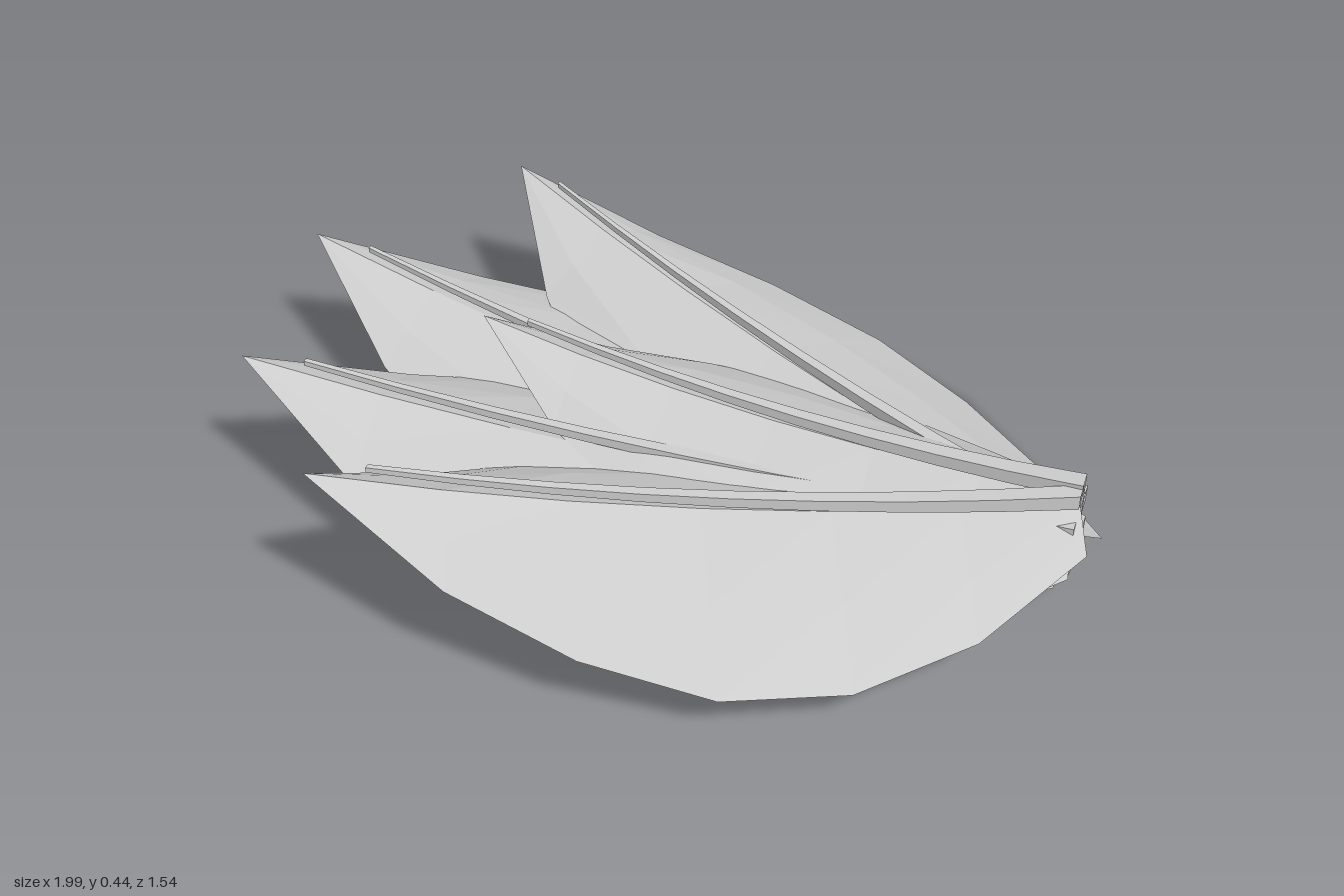
import * as THREE from 'three';

// Stations along a feather, with width and drop of the vanes at each
const STATIONS = [0, 0.17, 0.33, 0.5, 0.67, 0.84, 1];
const WIDTH = [0, 0.49, 0.82, 1, 0.94, 0.67, 0.23];
const DROP = [0, 0.62, 0.85, 1, 1, 0.8, 0.38];

// Geometry from a grid of points: rows of equal length joined by quads
function gridGeometry(rows) {
  const pos = [], idx = [], n = rows[0].length;
  rows.forEach((row) => row.forEach((p) => pos.push(p.x, p.y, p.z)));
  for (let i = 0; i < rows.length - 1; i++) {
    for (let j = 0; j < n - 1; j++) {
      const a = i * n + j, b = a + n;
      idx.push(a, b, a + 1, b, b + 1, a + 1);
    }
  }
  const g = new THREE.BufferGeometry();
  g.setAttribute('position', new THREE.Float32BufferAttribute(pos, 3));
  g.setIndex(idx);
  g.computeVertexNormals();
  return g;
}

// Point on the sagging rib, t = 0 at the tip and 1 at the root
function ribPoint(f, t) {
  const p = f.tip.clone().lerp(f.root, t);
  p.y -= 0.2 * t * (1 - t);
  return p;
}

// Sloping half of a feather, slightly domed; side is +1 for front, -1 for back
function vane(f, side) {
  const along = f.root.clone().sub(f.tip).setY(0).normalize();
  const across = new THREE.Vector3(-along.z, 0, along.x).multiplyScalar(side);
  return gridGeometry(STATIONS.map((t, i) => {
    const rib = ribPoint(f, t);
    const edge = rib.clone().addScaledVector(across, f.width * WIDTH[i]);
    edge.y -= f.drop * DROP[i];
    const mid = rib.clone().lerp(edge, 0.55);
    mid.y += 0.015 * Math.sin(Math.PI * t);
    return side > 0 ? [rib, mid, edge] : [edge, mid, rib];
  }));
}

// Tapered four-sided shaft lying on the rib, lifting off it towards the tip
function quill(f) {
  const rows = [];
  for (let i = 0; i <= 8; i++) {
    const t = i / 8, c = ribPoint(f, 0.08 + 0.92 * t);
    const w = 0.006 + 0.016 * t, h = 0.006 + 0.011 * t;
    c.y += 0.034 - 0.012 * t;
    const corner = (sy, sz) => new THREE.Vector3(c.x, c.y + sy * h, c.z + sz * w);
    rows.push([corner(1, -1), corner(1, 1), corner(-1, 1), corner(-1, -1), corner(1, -1)]);
  }
  return gridGeometry(rows);
}

const V = (x, y, z) => new THREE.Vector3(x, y, z);

const feathers = [
  { name: 'centreFeather', tip: V(-0.43, 0.4, 0.01), root: V(0.94, 0.26, 0.01), width: 0.34, drop: 0.14 },
  { name: 'frontUpperFeather', tip: V(-0.52, 0.43, 0.69), root: V(0.94, 0.25, 0.035), width: 0.39, drop: 0.17 },
  { name: 'backUpperFeather', tip: V(-0.64, 0.37, -0.69), root: V(0.95, 0.14, 0), width: 0.41, drop: 0.17 },
  { name: 'frontLowerFeather', tip: V(-0.88, 0.38, 0.31), root: V(0.93, 0.17, 0.02), width: 0.43, drop: 0.15 },
  { name: 'backLowerFeather', tip: V(-1, 0.34, -0.26), root: V(0.93, 0.12, 0), width: 0.45, drop: 0.14 },
];

export function createModel() {
  const model = new THREE.Group();
  const grey = new THREE.MeshStandardMaterial({ color: 0xcccccc, side: THREE.DoubleSide, flatShading: true });
  grey.name = 'light grey';
  const add = (parent, name, geometry) => {
    const mesh = new THREE.Mesh(geometry, grey);
    mesh.name = name;
    parent.add(mesh);
    return mesh;
  };

  // Fan of five feathers
  for (const f of feathers) {
    const group = new THREE.Group();
    group.name = f.name;
    add(group, 'backVane', vane(f, -1));
    add(group, 'frontVane', vane(f, 1));
    add(group, 'quill', quill(f));
    model.add(group);
  }

  // Eight-sided hub with bevelled ends where the quills meet
  const profile = [[0, -0.08], [0.06, -0.08], [0.1, -0.045], [0.1, 0.035], [0.075, 0.07], [0, 0.07]];
  const hub = add(model, 'hub', new THREE.LatheGeometry(profile.map((p) => new THREE.Vector2(...p)), 8));
  hub.rotation.set(0, 0, -Math.PI / 2);
  hub.position.set(0.87, 0.13, 0.02);

  // Small blocks clasping the quill roots
  for (const [y, z] of [[0.245, 0.01], [0.21, 0.07], [0.2, -0.05]]) {
    const block = add(model, 'rootBlock', new THREE.BoxGeometry(0.06, 0.04, 0.05));
    block.position.set(0.91, y, z);
  }
  return model;
}
